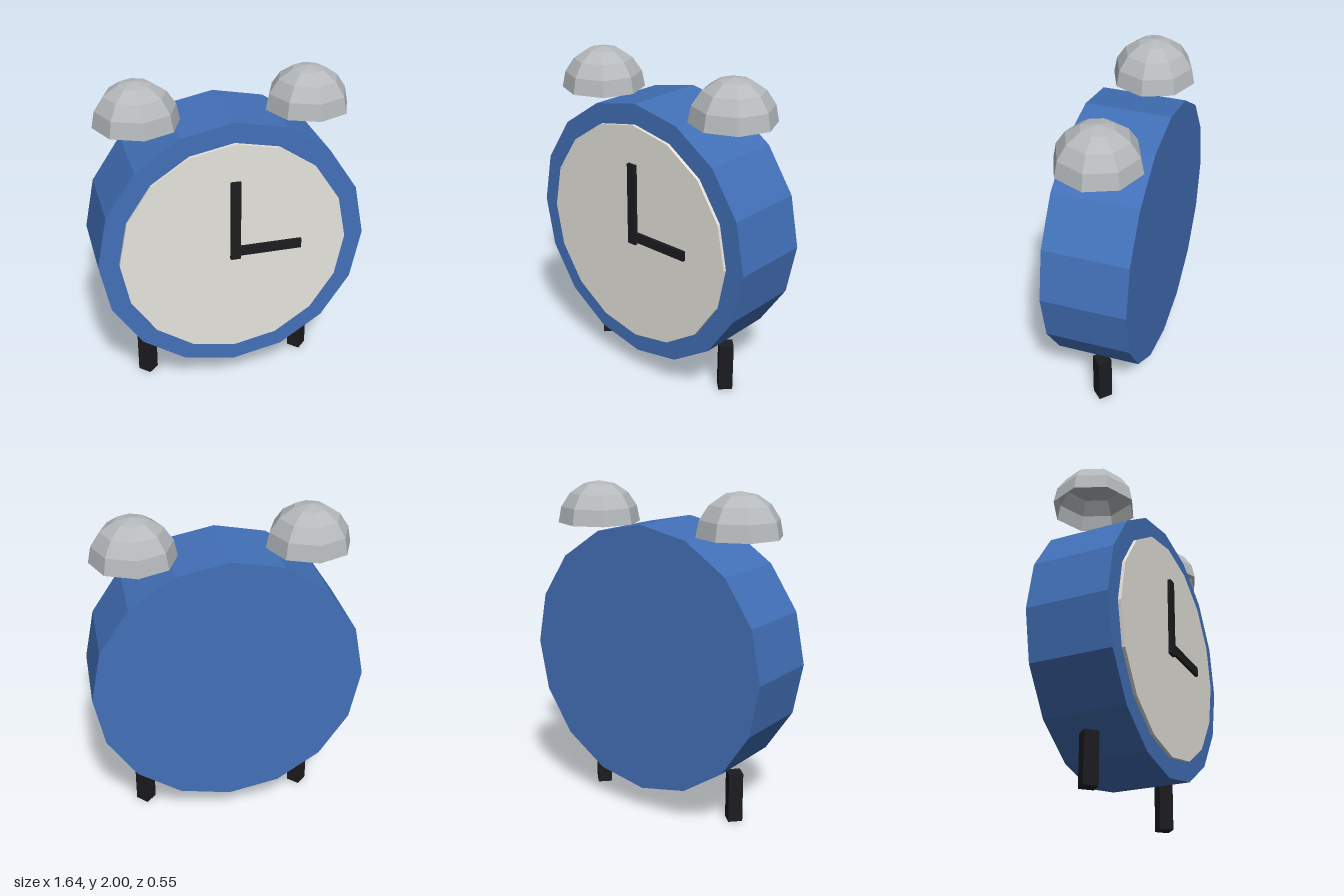
import * as THREE from 'three';

const MID_Y = 0.98, MID_Z = -0.02;

export function createModel() {
  const clock = new THREE.Group();
  clock.name = 'alarmClock';

  const mat = (color, side = THREE.FrontSide) =>
    new THREE.MeshStandardMaterial({ color, flatShading: true, side });
  const blue = mat(0x4270b8);
  const cream = mat(0xe6e4dc);
  const black = mat(0x1c1c20);
  const metal = mat(0xb6babd, THREE.DoubleSide);

  const add = (name, geometry, material, x, y, z) => {
    const mesh = new THREE.Mesh(geometry, material);
    mesh.name = name;
    mesh.position.set(x, y, z);
    clock.add(mesh);
    return mesh;
  };

  // Sixteen-sided discs facing forward
  const disc = (radius, depth) =>
    new THREE.CylinderGeometry(radius, radius, depth, 16).rotateX(Math.PI / 2);
  add('body', disc(0.818, 0.51), blue, 0, MID_Y, MID_Z);
  add('dial', disc(0.695, 0.04), cream, 0, MID_Y, 0.235);

  // Hands at three o'clock, the minute hand a hair in front
  add('minuteHand', new THREE.BoxGeometry(0.06, 0.51, 0.022), black, 0, 1.185, 0.265);
  add('hourHand', new THREE.BoxGeometry(0.41, 0.06, 0.02), black, 0.205, MID_Y, 0.264);

  // Hollow half-dome bells and diamond-section feet, mirrored
  const dome = new THREE.SphereGeometry(0.255, 8, 4, 0, Math.PI * 2, 0, Math.PI / 2);
  const post = new THREE.CylinderGeometry(0.062, 0.062, 0.31, 4);
  for (const [side, s] of [['left', 1], ['right', -1]]) {
    add(side + 'Bell', dome, metal, s * 0.512, 1.745, MID_Z);
    add(side + 'Foot', post, black, s * 0.512, 0.155, MID_Z);
  }

  return clock;
}
